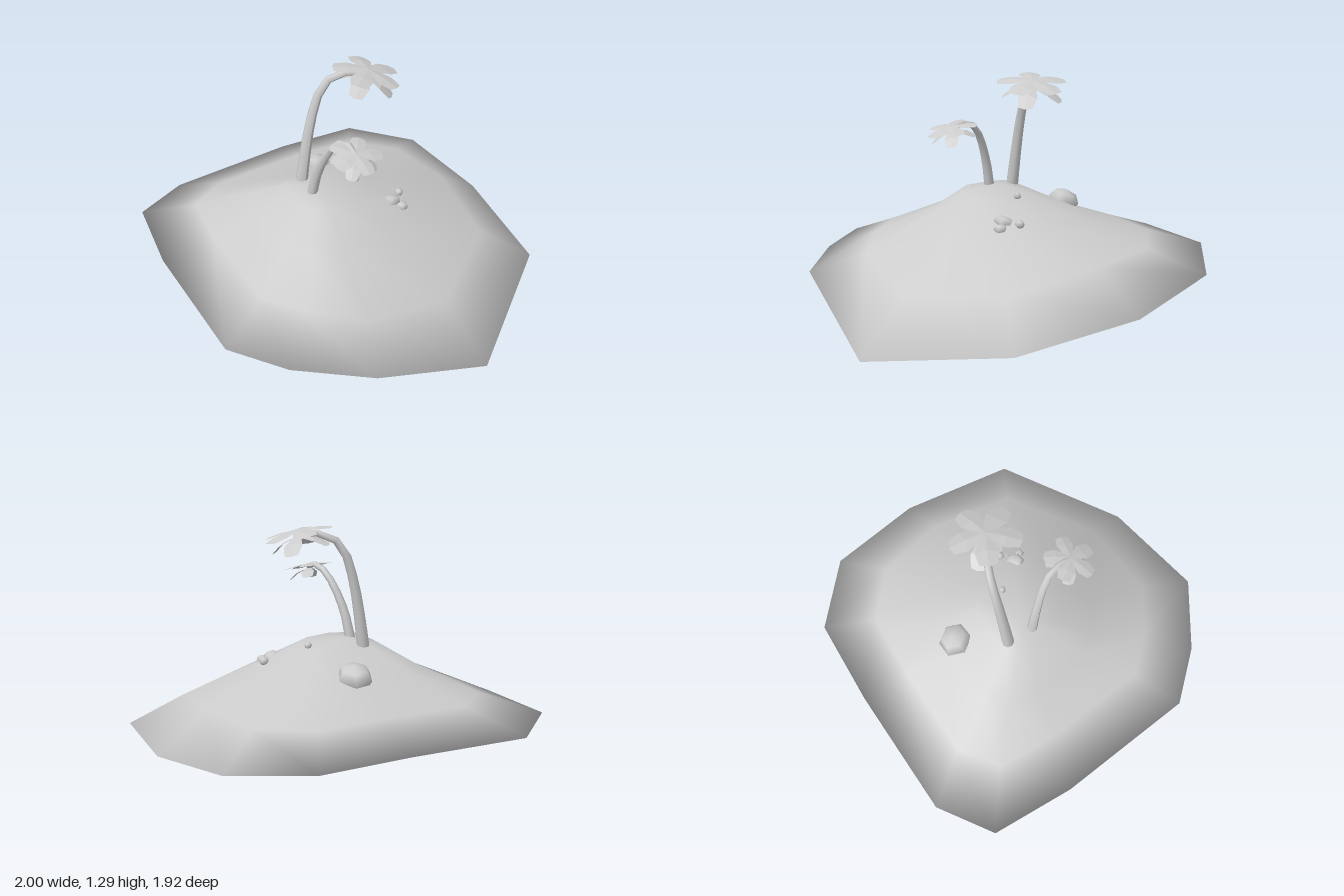
import * as THREE from 'three';

const material = new THREE.MeshStandardMaterial({ color: 0xcccccc });
const flat = new THREE.MeshStandardMaterial({ color: 0xcccccc, flatShading: true, side: THREE.DoubleSide });

function addMesh(parent, name, geometry, mat = material) {
  const mesh = new THREE.Mesh(geometry, mat);
  mesh.name = name;
  parent.add(mesh);
  return mesh;
}

// Rim corners going round the island: x, y, z and the height of the shoulder above
const RIM = [
  [-0.50, 0.345, -0.94, 0.45], [0.03, 0.265, -0.965, 0.44], [0.65, 0.21, -0.80, 0.37],
  [1.00, 0.06, -0.13, 0.31], [0.90, 0.305, 0.50, 0.39], [0.62, 0.31, 0.79, 0.42],
  [0.34, 0.32, 0.96, 0.43], [-0.42, 0.32, 0.89, 0.43], [-0.86, 0.335, 0.79, 0.43],
  [-1.00, 0.315, 0.48, 0.43], [-0.91, 0.37, -0.21, 0.46], [-0.82, 0.38, -0.67, 0.46],
];

// Island: smooth loops from the summit over the rim to the keel point
function islandGeometry() {
  const summit = [-0.06, 0.685, 0.12];
  const keel = [0.28, 0, -0.26];
  const n = RIM.length;
  const loops = [
    RIM.map(([x, , z]) => [x * 0.19 - 0.03, 0.655 + z * 0.01, z * 0.22 + 0.07]),
    RIM.map(([x, , z]) => [x * 0.4 - 0.05, 0.55, z * 0.41 + 0.05]),
    RIM.map(([x, , z, top]) => [x * 0.72, top, z * 0.72]),
    RIM.map(([x, y, z]) => [x, y, z]),
    RIM.map((p) => keel.map((k, a) => p[a] + (k - p[a]) * 0.35)),
  ];
  const positions = [summit, ...loops.flat(), keel].flat();
  const last = 1 + loops.length * n;
  const index = [];
  for (let i = 0; i < n; i++) {
    const j = (i + 1) % n;
    index.push(0, 1 + j, 1 + i);
    for (let r = 0; r < loops.length - 1; r++) {
      const a = 1 + r * n, b = a + n;
      index.push(a + i, a + j, b + i, a + j, b + j, b + i);
    }
    index.push(last - n + i, last - n + j, last);
  }
  const geometry = new THREE.BufferGeometry();
  geometry.setAttribute('position', new THREE.Float32BufferAttribute(positions, 3));
  geometry.setIndex(index);
  geometry.computeVertexNormals();
  return geometry;
}

// Trunk: a tube that narrows towards its tip
function trunkGeometry(points, base, tip) {
  const curve = new THREE.CatmullRomCurve3(points.map((p) => new THREE.Vector3(...p)));
  const steps = 8, sides = 8;
  const geometry = new THREE.TubeGeometry(curve, steps, 1, sides);
  const pos = geometry.attributes.position;
  const v = new THREE.Vector3();
  for (let i = 0; i < pos.count; i++) {
    const t = Math.floor(i / (sides + 1)) / steps;
    const centre = curve.getPointAt(t);
    v.fromBufferAttribute(pos, i).sub(centre).multiplyScalar(base + (tip - base) * t).add(centre);
    pos.setXYZ(i, v.x, v.y, v.z);
  }
  geometry.computeVertexNormals();
  return geometry;
}

// Leaf: broad blunt blade along +z, slightly folded on its midrib and bent down
function leafGeometry(length, droop) {
  const half = [[0, 0], [0.14, 0.05], [0.33, 0.62], [0.24, 0.97], [0, 1.03], [0, 0.55]];
  const positions = [], index = [];
  for (const side of [1, -1]) {
    const o = positions.length / 3;
    for (const [w, l] of half) {
      positions.push(side * w * length, -(droop * l * l + 0.12 * w) * length, l * length);
    }
    const tris = [0, 5, 1, 1, 5, 2, 5, 4, 2, 2, 4, 3];
    for (let i = 0; i < tris.length; i += 3) {
      const [a, b, c] = tris.slice(i, i + 3).map((k) => k + o);
      index.push(a, side > 0 ? b : c, side > 0 ? c : b);
    }
  }
  const geometry = new THREE.BufferGeometry();
  geometry.setAttribute('position', new THREE.Float32BufferAttribute(positions, 3));
  geometry.setIndex(index);
  geometry.computeVertexNormals();
  return geometry;
}

function palm(name, path, base, tip, leafLength, lean, turn) {
  const group = new THREE.Group();
  group.name = name;
  addMesh(group, 'trunk', trunkGeometry(path, base, tip));
  // Two layers of leaves, tilted the way the trunk bends
  const crown = new THREE.Group();
  crown.name = 'crown';
  crown.position.set(...path[path.length - 1]);
  crown.quaternion.setFromUnitVectors(new THREE.Vector3(0, 1, 0), new THREE.Vector3(...lean).normalize());
  const layers = [[5, 1, 0.12, 0.1, 0], [4, 0.85, 0.45, -0.08, 0.6]];
  for (const [count, size, droop, lift, offset] of layers) {
    for (let i = 0; i < count; i++) {
      const leaf = addMesh(crown, 'leaf', leafGeometry(leafLength * size, droop), flat);
      leaf.position.y = lift * leafLength;
      leaf.rotation.y = turn + offset + (i / count) * Math.PI * 2;
    }
  }
  group.add(crown);
  return group;
}

function rock(parent, name, position, scale, turn) {
  const mesh = addMesh(parent, name, new THREE.SphereGeometry(1, 6, 4));
  mesh.position.set(...position);
  mesh.scale.set(...scale);
  mesh.rotation.set(-0.25, turn, 0.2);
}

export function createModel() {
  const model = new THREE.Group();
  model.name = 'palmIsland';
  addMesh(model, 'island', islandGeometry());

  model.add(palm('tallPalm', [
    [-0.18, 0.64, 0.15], [-0.178, 0.85, 0.115], [-0.172, 1.05, 0.07],
    [-0.155, 1.2, 0.01], [-0.11, 1.255, -0.07], [-0.03, 1.26, -0.17],
  ], 0.033, 0.016, 0.175, [0.13, 1, -0.18], Math.PI));
  model.add(palm('shortPalm', [
    [-0.045, 0.64, 0.18], [-0.01, 0.8, 0.165], [0.05, 0.94, 0.14],
    [0.11, 1.02, 0.12], [0.18, 1.045, 0.115], [0.255, 1.025, 0.125],
  ], 0.028, 0.014, 0.13, [0.25, 1, 0], 0.2));

  // Boulder on one flank of the hill, small stones on the other side
  rock(model, 'boulder', [-0.36, 0.575, -0.07], [0.095, 0.07, 0.09], 0.4);
  rock(model, 'pebble', [-0.01, 0.665, -0.085], [0.02, 0.02, 0.02], 0);
  rock(model, 'stone', [0.17, 0.58, -0.185], [0.05, 0.03, 0.055], 0.4);
  rock(model, 'stone', [0.22, 0.56, -0.215], [0.035, 0.025, 0.035], 1.5);
  rock(model, 'stone', [0.135, 0.58, -0.265], [0.025, 0.022, 0.025], 2.2);
  return model;
}
